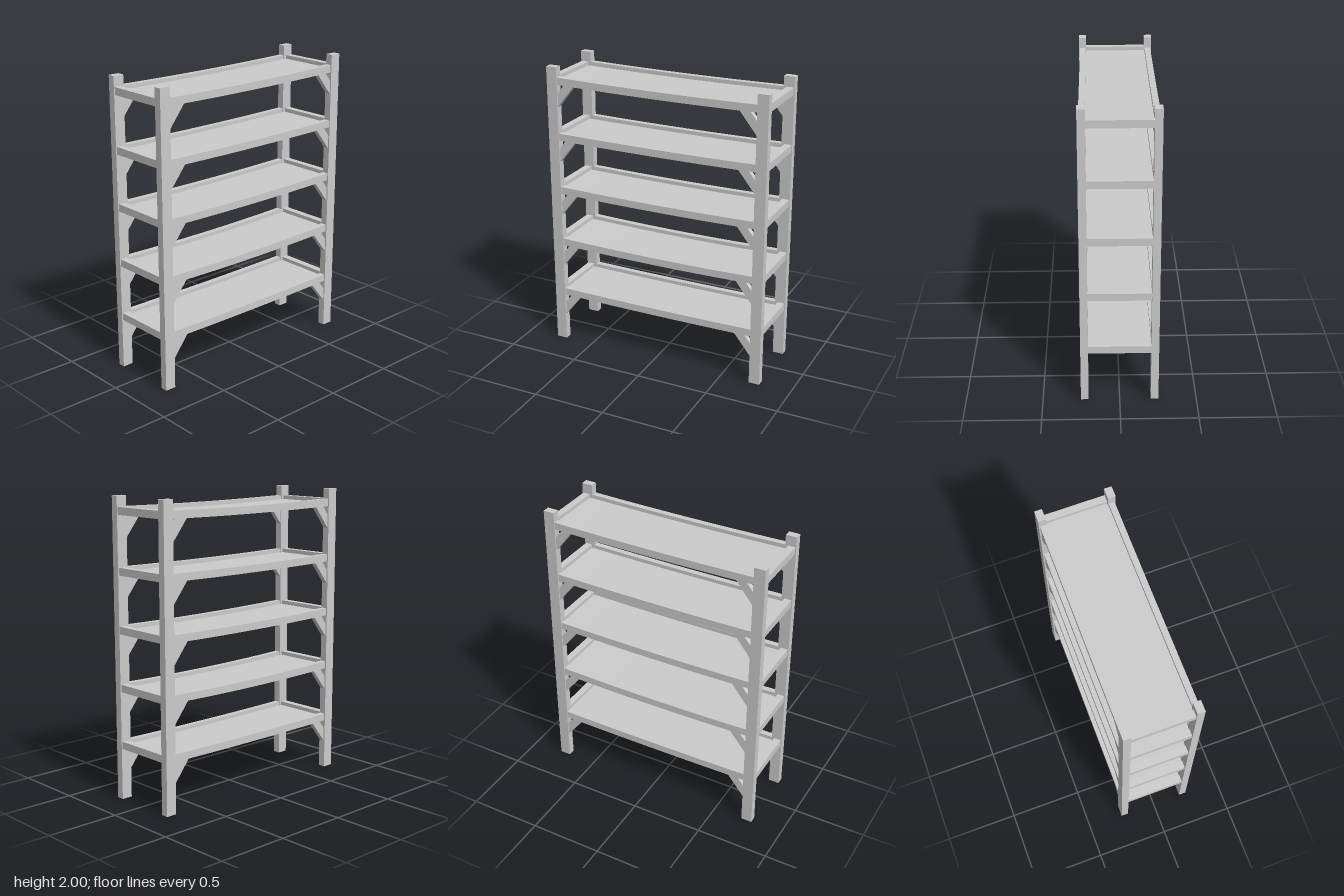
import * as THREE from 'three';

const material = new THREE.MeshStandardMaterial({ color: 0xcccccc, flatShading: true, side: THREE.DoubleSide });
const SHELF_TOPS = [0.395, 0.78, 1.163, 1.545, 1.93];
const SAGS = [0.006, 0.012, 0.009, 0.007, 0.008];
const THICK = 0.05;          // rail height
const POST_X = 0.228, POST_Z = 0.742;

function addMesh(parent, name, geometry, x = 0, y = 0, z = 0) {
  const mesh = new THREE.Mesh(geometry, material);
  mesh.name = name;
  mesh.position.set(x, y, z);
  parent.add(mesh);
  return mesh;
}

// Box running along z whose middle droops under load
function saggingBox(width, height, length, sag) {
  const geometry = new THREE.BoxGeometry(width, height, length, 1, 1, 8);
  const p = geometry.attributes.position;
  for (let i = 0; i < p.count; i++) {
    const t = p.getZ(i) / (length / 2);
    p.setY(i, p.getY(i) - sag * (1 - t * t));
  }
  geometry.computeVertexNormals();
  return geometry;
}

// Post open at the foot
function postGeometry() {
  const geometry = new THREE.BoxGeometry(0.05, 2, 0.075);
  const index = Array.from(geometry.index.array);
  index.splice(18, 6);
  geometry.setIndex(index);
  geometry.clearGroups();
  return geometry;
}

// Diagonal brace: profile in (z, y), y measured from the underside of the rail
function braceGeometry() {
  const shape = new THREE.Shape([
    [0.71, -0.158], [0.71, -0.065], [0.655, 0.004], [0.582, 0.004],
  ].map(([z, y]) => new THREE.Vector2(z, y)));
  const geometry = new THREE.ExtrudeGeometry(shape, { depth: 0.036, bevelEnabled: false });
  geometry.translate(0, 0, -0.018);
  geometry.rotateY(-Math.PI / 2); // profile x becomes +z
  return geometry;
}

export function createModel() {
  const model = new THREE.Group();
  model.name = 'shelfRack';

  // Corner posts
  for (const sx of [-1, 1]) {
    for (const sz of [-1, 1]) addMesh(model, 'post', postGeometry(), sx * POST_X, 1, sz * POST_Z);
  }

  SHELF_TOPS.forEach((top, i) => {
    const shelf = new THREE.Group();
    shelf.name = 'shelf' + (i + 1);
    shelf.position.y = top;
    model.add(shelf);

    // Recessed sheet between the rails
    addMesh(shelf, 'panel', saggingBox(0.42, 0.022, 1.46, SAGS[i]), 0, -0.037, 0);

    for (const s of [-1, 1]) {
      addMesh(shelf, 'sideRail', saggingBox(0.04, THICK, 1.42, SAGS[i]), s * 0.226, -THICK / 2, 0);
      addMesh(shelf, 'endRail', new THREE.BoxGeometry(0.42, THICK, 0.048), 0, -THICK / 2, s * 0.749);

      // Braces under the side rails, one at each end
      for (const end of [-1, 1]) {
        const brace = addMesh(shelf, 'brace', braceGeometry(), s * 0.226, -THICK, 0);
        if (end < 0) brace.rotation.y = Math.PI;
      }
    }
  });
  return model;
}
